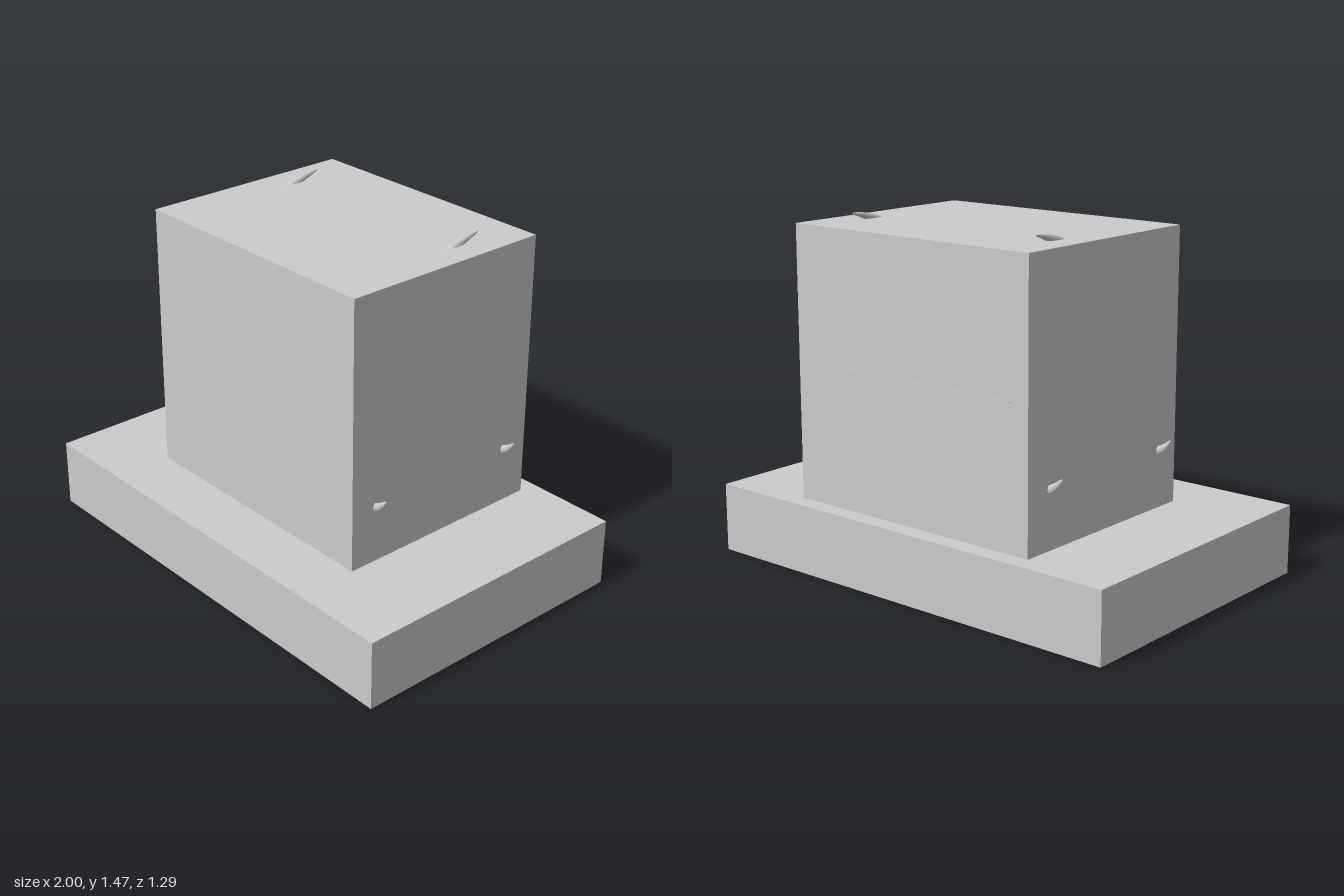
import * as THREE from 'three';

const material = new THREE.MeshStandardMaterial({ color: 0xcccccc });

function add(group, geometry, name, x, y, z) {
  const mesh = new THREE.Mesh(geometry, material);
  mesh.name = name;
  mesh.position.set(x, y, z);
  group.add(mesh);
  return mesh;
}

// Curved claw in the xy plane, pointing to +x, tapering to its tip; flat scales its width in z
function clawGeometry(points, radius, flat) {
  const curve = new THREE.CatmullRomCurve3(points.map(([x, y]) => new THREE.Vector3(x, y, 0)));
  const rings = 20, sides = 16;
  const geometry = new THREE.TubeGeometry(curve, rings, radius, sides);
  const pos = geometry.attributes.position;
  const v = new THREE.Vector3();
  for (let i = 0; i <= rings; i++) {
    const t = i / rings;
    const centre = curve.getPointAt(t);
    const taper = Math.sqrt(1 - t * t) * (1 - 0.45 * t);
    for (let j = 0; j <= sides; j++) {
      const k = i * (sides + 1) + j;
      v.fromBufferAttribute(pos, k).sub(centre).multiplyScalar(taper);
      v.z *= flat;
      v.add(centre);
      pos.setXYZ(k, v.x, v.y, v.z);
    }
  }
  geometry.computeVertexNormals();
  return geometry;
}

export function createModel() {
  const model = new THREE.Group();
  model.name = 'blockOnPlinth';

  // Wide plinth and the tall block, set towards the back
  add(model, new THREE.BoxGeometry(2, 0.293, 1.29), 'plinth', 0, 0.1465, 0);
  add(model, new THREE.BoxGeometry(1.2, 1.147, 0.95), 'block', 0, 0.8665, -0.092);

  // Thin ridge across the back of the block
  add(model, new THREE.BoxGeometry(1.03, 0.008, 0.01), 'backRidge', 0, 0.88, -0.566);

  // Backswept claws on top and upturned claws on both sides
  const topClaw = clawGeometry([[0, -0.028], [0.07, 0], [0.13, 0.018], [0.185, 0.03]], 0.023, 0.85);
  const sideClaw = clawGeometry([[-0.03, -0.01], [0.005, -0.003], [0.035, 0.018], [0.062, 0.047]], 0.022, 0.58);
  for (const side of [1, -1]) {
    const label = side > 0 ? 'left' : 'right';
    add(model, topClaw, label + 'TopClaw', side * 0.475, 1.44, -0.19).rotation.y = Math.PI / 2;
    for (const [end, z] of [['Front', 0.265], ['Back', -0.44]]) {
      const claw = add(model, sideClaw, label + end + 'Claw', side * 0.6, 0.54, z);
      if (side < 0) claw.rotation.y = Math.PI;
    }
  }
  return model;
}
